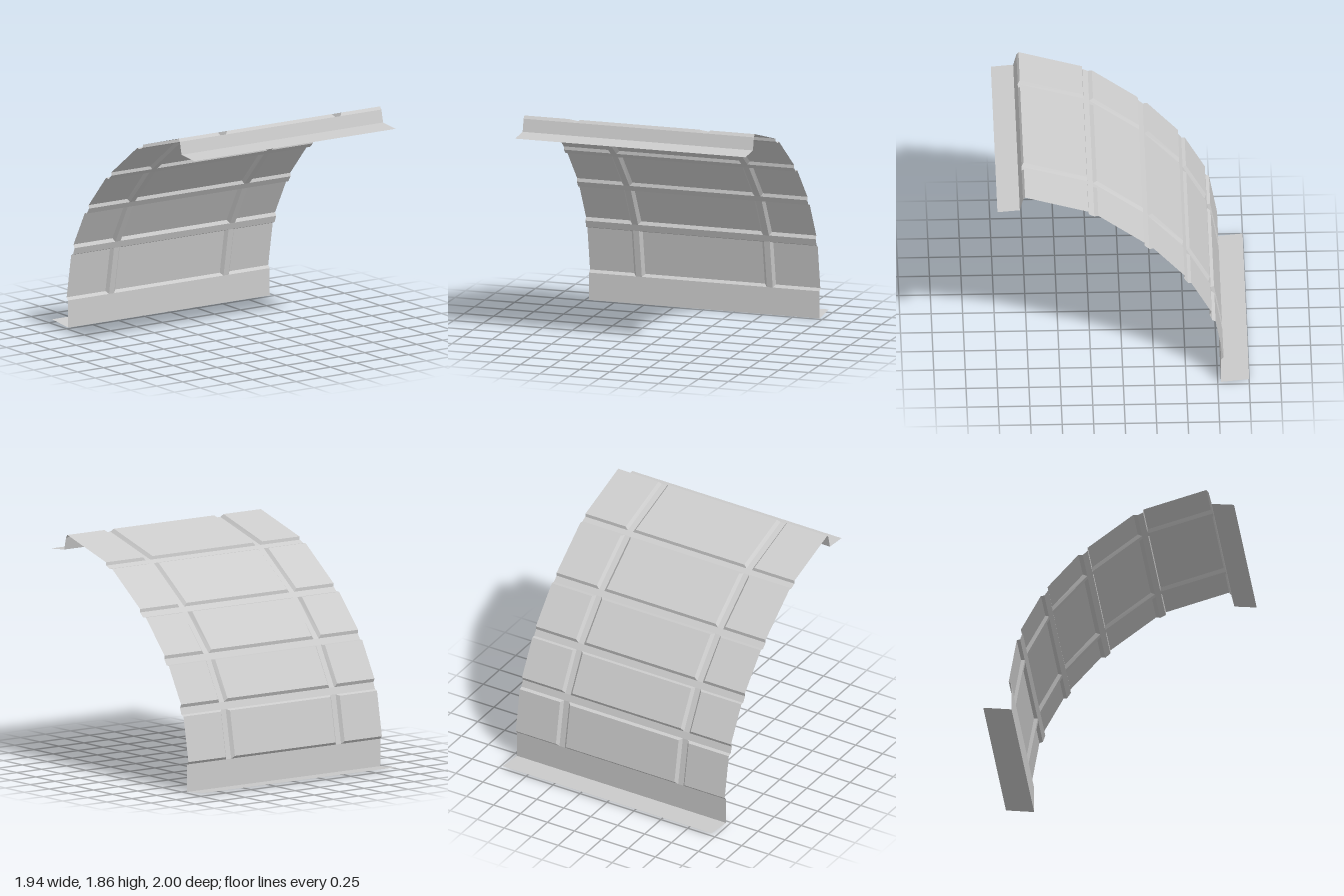
import * as THREE from 'three';

const material = new THREE.MeshStandardMaterial({ color: 0xcccccc, flatShading: true, side: THREE.DoubleSide });
const HALF = 0.969;

// Each row of panels as [z, y]: groove floor at its front end, raised face
// front and back, groove floor at its back end.
const rows = [
  [[0.797, 1.832], [0.78, 1.855], [0.277, 1.705], [0.274, 1.679]],
  [[0.23, 1.658], [0.198, 1.663], [-0.167, 1.39], [-0.167, 1.363]],
  [[-0.207, 1.327], [-0.241, 1.331], [-0.487, 1.059], [-0.482, 1.031]],
  [[-0.513, 0.985], [-0.54, 0.984], [-0.7, 0.695], [-0.686, 0.667]],
  [[-0.706, 0.612], [-0.733, 0.602], [-0.797, 0.244], [-0.777, 0.222]],
];

// Each column as x: foot left, face left, face right, foot right.
const columns = [
  [-HALF, -HALF, -0.596, -0.575],
  [-0.526, -0.503, 0.503, 0.526],
  [0.575, 0.596, HALF, HALF],
];

// Sheet-metal mesh from a list of four-cornered faces.
function sheet(name, quads) {
  const positions = [];
  for (const [a, b, c, d] of quads) positions.push(...a, ...b, ...c, ...a, ...c, ...d);
  const geometry = new THREE.BufferGeometry();
  geometry.setAttribute('position', new THREE.Float32BufferAttribute(positions, 3));
  geometry.computeVertexNormals();
  const mesh = new THREE.Mesh(geometry, material);
  mesh.name = name;
  return mesh;
}

const at = (x, [z, y]) => [x, y, z];

// Strip between two profile points, front one first.
const strip = (p, q, x0 = -HALF, x1 = HALF) => [at(x0, p), at(x1, p), at(x1, q), at(x0, q)];

// Raised face with bevels down to the groove floor.
function panelQuads([frontFoot, front, back, backFoot], [footL, left, right, footR]) {
  const foot = [at(footL, frontFoot), at(footR, frontFoot), at(footR, backFoot), at(footL, backFoot)];
  const face = [at(left, front), at(right, front), at(right, back), at(left, back)];
  const quads = [face];
  for (let i = 0; i < 4; i++) {
    const j = (i + 1) % 4;
    // The outer ends of the sheet stay open
    if ((i === 1 && footR === right) || (i === 3 && footL === left)) continue;
    quads.push([foot[i], foot[j], face[j], face[i]]);
  }
  return quads;
}

export function createModel() {
  const group = new THREE.Group();
  group.name = 'curvedPanelledSheet';

  rows.forEach((row, i) => {
    // Raised panels
    columns.forEach((column, j) => {
      group.add(sheet(`panel${i + 1}_${j + 1}`, panelQuads(row, column)));
    });
    // Floors of the two lengthwise grooves
    const floors = [0, 1].map((j) => strip(row[0], row[3], columns[j][3], columns[j + 1][0]));
    group.add(sheet(`lengthwiseGroove${i + 1}`, floors));
    // Floor of the cross groove to the next row
    if (i < rows.length - 1) group.add(sheet(`crossGroove${i + 1}`, [strip(row[3], rows[i + 1][0])]));
  });

  // Upper edge: flange and wall
  const upperFold = [0.822, 1.731];
  group.add(sheet('upperFlange', [strip([1, 1.715], upperFold)]));
  group.add(sheet('upperWall', [strip(upperFold, rows[0][0])]));

  // Lower edge: wall and flange
  const lowerFold = [-0.775, 0];
  group.add(sheet('lowerWall', [strip(rows[4][3], lowerFold)]));
  group.add(sheet('lowerFlange', [strip(lowerFold, [-1, 0.024])]));

  return group;
}
